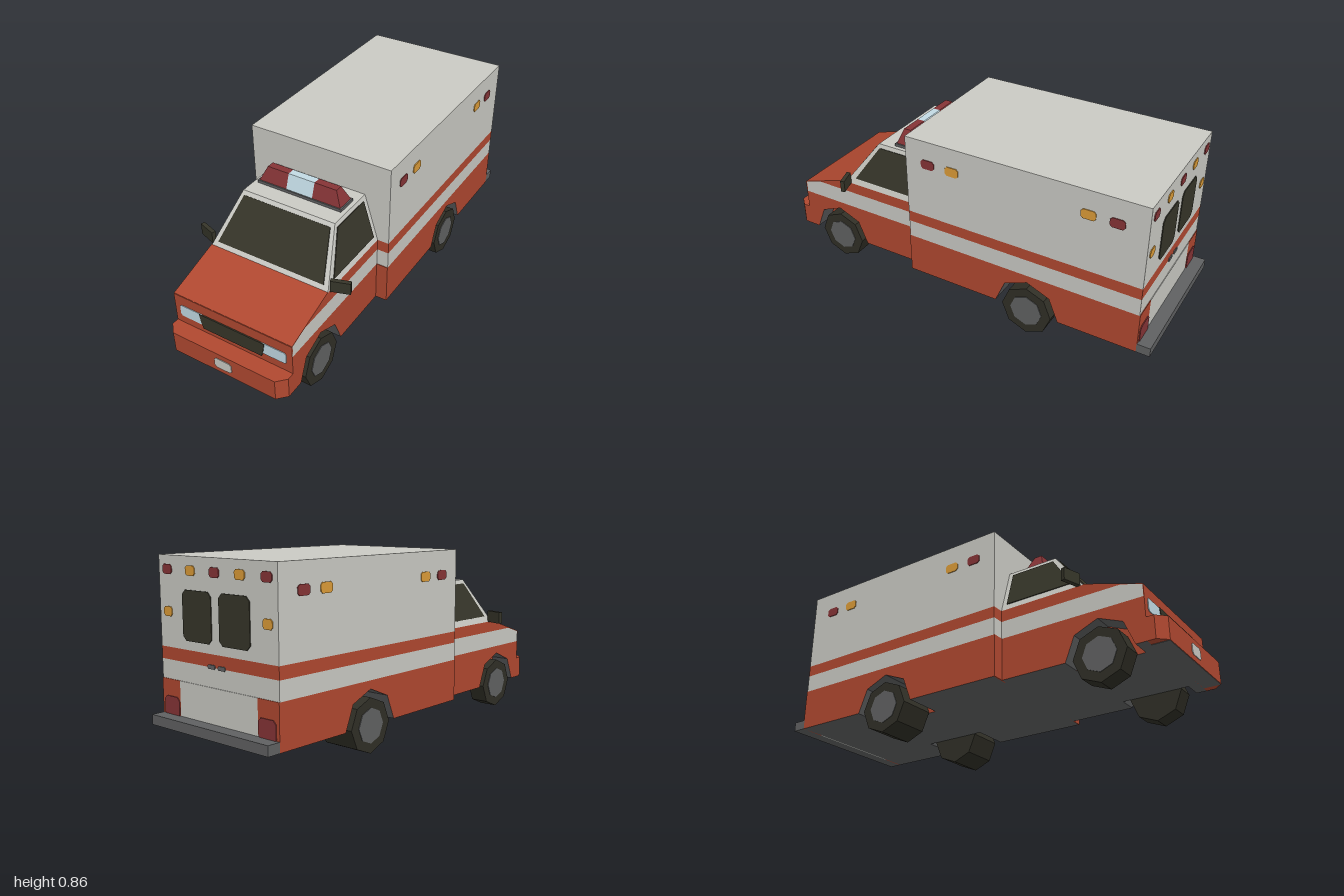
import * as THREE from 'three';
import { ConvexGeometry } from 'three/addons/geometries/ConvexGeometry.js';

const paint = (name, color) => {
  const m = new THREE.MeshStandardMaterial({ color });
  m.name = name;
  return m;
};
const V = (x, y, z) => new THREE.Vector3(x, y, z);

export function createModel() {
  const white = paint('white', 0xcacac4);
  const red = paint('red', 0xb04830);
  const darkRed = paint('dark red', 0x863436);
  const amber = paint('amber', 0xdc9c38);
  const pale = paint('pale blue', 0xc2dae4);
  const black = paint('glass black', 0x363529);
  const rubber = paint('rubber', 0x302f26);
  const grey = paint('dark grey', 0x606162);

  const group = new THREE.Group();
  const add = (name, geometry, material) => {
    const mesh = new THREE.Mesh(geometry, material);
    mesh.name = name;
    group.add(mesh);
    return mesh;
  };
  // Box given by its limits on each axis
  const block = (name, mat, x0, x1, y0, y1, z0, z1) => {
    const m = add(name, new THREE.BoxGeometry(x1 - x0, y1 - y0, z1 - z0), mat);
    m.position.set((x0 + x1) / 2, (y0 + y1) / 2, (z0 + z1) / 2);
    return m;
  };
  const hull = (name, mat, pts) => add(name, new ConvexGeometry(pts), mat);
  // Flat polygon thickened along an offset
  const sheet = (name, mat, pts, offset) =>
    hull(name, mat, [...pts, ...pts.map((p) => p.clone().add(offset))]);
  // Thin plate with cut corners, turned about y to face outwards
  const badge = (name, mat, w, h, c, x, y, z, turn) => {
    const a = w / 2, b = h / 2;
    const shape = new THREE.Shape([[a, b - c], [a - c, b], [c - a, b], [-a, b - c],
      [-a, c - b], [c - a, -b], [a - c, -b], [a, c - b]].map(([u, v]) => new THREE.Vector2(u, v)));
    const geo = new THREE.ExtrudeGeometry(shape, { depth: 0.008, bevelEnabled: false });
    const m = add(name, geo.translate(0, 0, -0.004), mat);
    m.position.set(x, y, z);
    m.rotation.y = turn;
    return m;
  };

  const floor = 0.125, bandLow = 0.325, bandMid = 0.41, bandTop = 0.465;
  const W = 0.367, C = 0.31, back = -0.935, join = 0.23, nose = 0.92;

  // Lower body: solid core with side slabs notched by the wheel wells
  const lowerBody = (name, z0, z1, core, outer, wheelZ) => {
    block(name + 'Core', [red, red, red, grey, red, red], -core, core, floor, bandLow, z0, z1);
    const shape = new THREE.Shape();
    shape.moveTo(-z1, floor);
    for (let i = 0; i <= 4; i++) {
      const a = Math.PI * (1 - i / 4);
      shape.lineTo(-wheelZ + 0.16 * Math.cos(a), floor + 0.162 * Math.sin(a));
    }
    shape.lineTo(-z0, floor);
    shape.lineTo(-z0, bandLow);
    shape.lineTo(-z1, bandLow);
    const geo = new THREE.ExtrudeGeometry(shape, { depth: outer - core, bevelEnabled: false });
    for (const x of [core, -outer]) {
      const m = add(name + 'Side', geo, [red, grey]);
      m.rotation.y = Math.PI / 2;
      m.position.x = x;
    }
  };
  lowerBody('rearLower', back, join, 0.18, W, -0.4);
  lowerBody('cabLower', join, nose, 0.215, C, 0.71);

  // Rear compartment bands
  block('boxWhiteBand', white, -W, W, bandLow, bandMid, back, join);
  block('boxRedBand', red, -W, W, bandMid, bandTop, back, join);
  block('boxUpper', white, -W, W, bandTop, 0.86, back, join);
  block('rearDoorLower', white, -0.245, 0.245, floor, bandLow, back - 0.003, back + 0.003);
  for (const s of [-1, 1]) {
    const a = s * 0.245, b = s * W, f = s * 0.28;
    block('rearCorner', red, Math.min(a, b), Math.max(a, b), floor, bandLow, back - 0.003, back + 0.003);
    block('boxFrontCorner', red, Math.min(f, b), Math.max(f, b), floor, bandLow, join - 0.003, join + 0.003);
  }

  // Cab bands and sloping hood
  const deep = V(2 * C, 0, 0);
  sheet('cabWhiteBand', white, [V(-C, bandLow, join), V(-C, bandLow, nose), V(-C, 0.38, nose),
    V(-C, bandMid, 0.825), V(-C, bandMid, join)], deep);
  sheet('cabRedBand', red, [V(-C, bandMid, join), V(-C, bandMid, 0.825),
    V(-C, bandTop, 0.65), V(-C, bandTop, join)], deep);
  sheet('hood', red, [V(-C, 0.38, nose), V(C, 0.38, nose), V(C, bandTop, 0.65), V(-C, bandTop, 0.65)],
    V(0, 0.004, 0.001));
  block('nosePanel', red, -C, C, floor, 0.382, nose - 0.003, nose + 0.003);

  // Front bumper with cut corners
  sheet('frontBumper', red, [V(-C, floor, nose), V(-C, floor, 0.958), V(-0.27, floor, 1),
    V(0.27, floor, 1), V(C, floor, 0.958), V(C, floor, nose)], V(0, 0.105, 0));
  block('bumperUnderside', grey, -0.27, 0.27, floor - 0.002, floor + 0.002, nose, 0.998);
  badge('frontPlate', white, 0.09, 0.053, 0.01, 0, 0.177, 0.999, 0);

  // Grille and headlights
  for (const s of [-1, 1]) badge('headlight', pale, 0.13, 0.06, 0.008, s * 0.215, 0.301, nose + 0.002, 0);
  sheet('grille', black, [V(-0.172, 0.331, nose), V(0.172, 0.331, nose), V(0.165, 0.29, nose),
    V(0.155, 0.255, nose), V(-0.155, 0.255, nose), V(-0.165, 0.29, nose)], V(0, 0, 0.009));

  // Tapered cabin with windows lying on its sloping faces
  const roofY = 0.692;
  const sideX = (y) => C - ((y - bandTop) / (roofY - bandTop)) * 0.07;
  const shieldZ = (y) => 0.65 - ((y - bandTop) / (roofY - bandTop)) * 0.17;
  const cabin = [];
  for (const s of [-1, 1]) for (const y of [bandTop, roofY]) {
    cabin.push(V(s * sideX(y), y, join), V(s * sideX(y), y, shieldZ(y)));
  }
  hull('cabin', white, cabin);
  sheet('windshield', black, [[-0.28, 0.485], [0.28, 0.485], [0.275, 0.5], [0.226, 0.675],
    [-0.226, 0.675], [-0.275, 0.5]].map(([x, y]) => V(x, y, shieldZ(y))), V(0, 0.0025, 0.0035));
  for (const s of [-1, 1]) {
    sheet('sideWindow', black, [[0.255, 0.495], [0.592, 0.495], [0.472, 0.672], [0.255, 0.672]]
      .map(([z, y]) => V(s * sideX(y), y, z)), V(s * 0.004, 0.001, 0));
    const mirror = block('mirror', black, -0.045, 0.045, 0.465, 0.523, -0.01, 0.01);
    mirror.position.x = s * 0.352;
    mirror.position.z = 0.615;
    mirror.rotation.y = s * 0.32;
  }

  // Roof light bar
  block('lightBarBase', grey, -0.22, 0.22, 0.69, 0.706, 0.3, 0.4);
  const lamp = (name, mat, b0, b1, t0, t1) => hull(name, mat, [
    V(b0, 0.706, 0.306), V(b0, 0.706, 0.394), V(b1, 0.706, 0.306), V(b1, 0.706, 0.394),
    V(t0, 0.775, 0.333), V(t0, 0.775, 0.37), V(t1, 0.775, 0.333), V(t1, 0.775, 0.37)]);
  lamp('rightBeacon', darkRed, -0.213, -0.068, -0.18, -0.068);
  lamp('middleBeacon', pale, -0.068, 0.068, -0.068, 0.068);
  lamp('leftBeacon', darkRed, 0.068, 0.213, 0.068, 0.18);

  // Side marker lights
  for (const s of [-1, 1]) {
    for (const [z, mat] of [[0.112, darkRed], [-0.015, amber], [-0.672, amber], [-0.8, darkRed]]) {
      badge('sideMarker', mat, 0.068, 0.045, 0.01, s * W, 0.745, z, s * Math.PI / 2);
    }
  }

  // Rear lights, door windows, handle and bumper
  [-0.308, -0.154, 0, 0.154, 0.308].forEach((x, i) =>
    badge('rearMarker', i % 2 ? amber : darkRed, 0.06, 0.042, 0.01, x, 0.8, back, Math.PI));
  for (const s of [-1, 1]) {
    badge('rearSideMarker', amber, 0.055, 0.042, 0.01, s * 0.31, 0.62, back, Math.PI);
    badge('rearWindow', black, 0.185, 0.215, 0.02, s * 0.117, 0.612, back, Math.PI);
    badge('tailLight', darkRed, 0.1, 0.09, 0.015, s * 0.3, 0.205, back - 0.003, Math.PI);
    badge('doorHandle', grey, 0.045, 0.018, 0.005, s * 0.032, 0.412, back, Math.PI);
  }
  block('rearBumper', grey, -W, W, floor, 0.17, -1, back);

  // Eight-sided wheels, the rear ones wider
  for (const [z, inner, outer] of [[0.71, 0.22, 0.31], [-0.4, 0.185, W]]) {
    for (const s of [-1, 1]) {
      const wheel = new THREE.Group();
      wheel.name = z > 0 ? 'frontWheel' : 'rearWheel';
      const disc = (name, r, w, mat) => {
        const geo = new THREE.CylinderGeometry(r, r, w, 8).toNonIndexed().rotateZ(Math.PI / 2);
        geo.computeVertexNormals();
        const m = new THREE.Mesh(geo, mat);
        m.name = name;
        wheel.add(m);
        return m;
      };
      disc('tyre', 0.125, outer - inner, rubber);
      disc('hub', 0.08, 0.006, grey).position.x = s * (outer - inner) / 2;
      wheel.position.set(s * (inner + outer) / 2, 0.125, z);
      group.add(wheel);
    }
  }
  return group;
}
